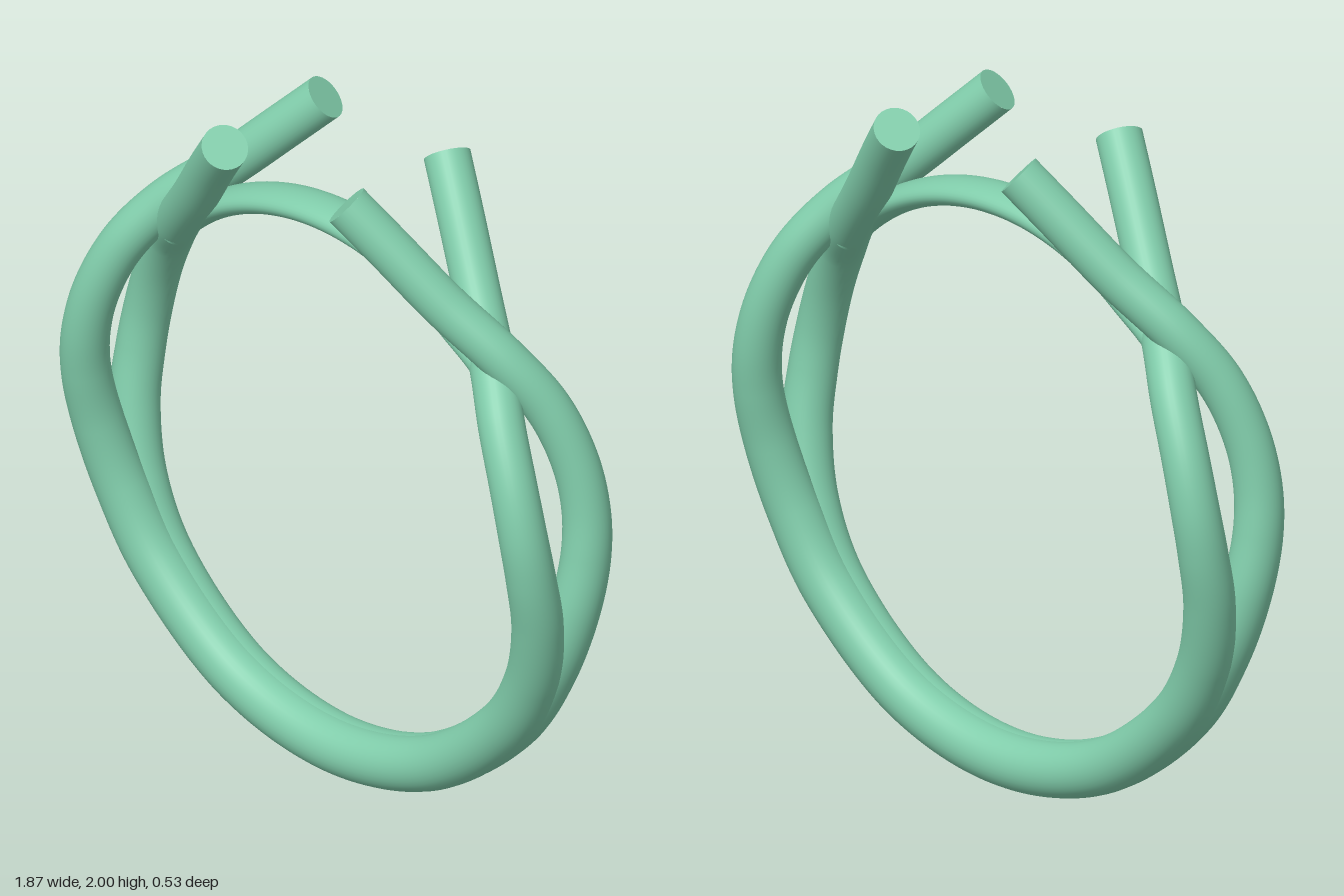
import * as THREE from 'three';

const CENTER_Y = 0.94, RING_R = 0.86;
const material = new THREE.MeshStandardMaterial({ color: 0x80ccaa });

// Tube along a curve; thickness(t) gives the radius and the extra stretch in z.
function taperedTube(name, curve, segments, thickness) {
  const group = new THREE.Group();
  group.name = name;
  const sides = 32;
  const geo = new THREE.TubeGeometry(curve, segments, 1, sides, false);
  const pos = geo.attributes.position, nor = geo.attributes.normal;
  const v = new THREE.Vector3();
  for (let i = 0; i <= segments; i++) {
    const t = i / segments;
    const c = curve.getPointAt(t), { r, wide } = thickness(t);
    for (let j = 0; j <= sides; j++) {
      const k = i * (sides + 1) + j;
      v.fromBufferAttribute(pos, k).sub(c).multiplyScalar(r);
      v.z *= wide;
      v.add(c);
      pos.setXYZ(k, v.x, v.y, v.z);
      v.fromBufferAttribute(nor, k);
      v.z /= wide;
      v.normalize();
      nor.setXYZ(k, v.x, v.y, v.z);
    }
  }
  const tube = new THREE.Mesh(geo, material);
  tube.name = name + 'Tube';
  group.add(tube);

  // Flat discs closing both ends
  for (const t of [0, 1]) {
    const { r } = thickness(t);
    const cap = new THREE.Mesh(new THREE.CircleGeometry(r, sides), material);
    const c = curve.getPointAt(t);
    const out = curve.getTangentAt(t).multiplyScalar(t ? 1 : -1);
    cap.position.copy(c);
    cap.quaternion.setFromUnitVectors(new THREE.Vector3(0, 0, 1), out);
    cap.name = name + 'End';
    group.add(cap);
  }
  return group;
}

// One strand: over the other on its left, under it on its right
function strandCurve() {
  // [angle up from the bottom, z, radial shift at the over/under side]
  const onRing = [
    [25, 0.011, 0], [51, 0.018, 0], [67, 0.036, 0], [81, 0.07, 0.003], [92, 0.103, 0.006],
    [101, 0.117, 0.008], [111, 0.108, 0.014], [122, 0.07, 0.024], [133, 0, 0.03],
  ];
  // Free ends leaving the ring: [x, y, z, shift]
  const free = [[0.48, 1.68, -0.078, 0.018], [0.34, 1.84, -0.147, 0.006], [0.235, 1.957, -0.2, 0]];
  const half = (side) => [
    ...onRing.map(([deg, z, shift]) => {
      const a = THREE.MathUtils.degToRad(deg), r = RING_R - side * shift;
      return new THREE.Vector3(side * r * Math.sin(a), CENTER_Y - r * Math.cos(a), z);
    }),
    ...free.map(([x, y, z, s]) =>
      new THREE.Vector3(side * (x - side * s * 0.7), y - side * s * 0.7, z)),
  ];
  const bottom = new THREE.Vector3(0, CENTER_Y - RING_R, 0.01);
  return new THREE.CatmullRomCurve3([...half(-1).reverse(), bottom, ...half(1)], false, 'centripetal');
}

export function createModel() {
  const model = new THREE.Group();
  model.name = 'crossedStrandRing';

  // Two identical strands, the second turned half round the upright axis
  const curve = strandCurve();
  curve.arcLengthDivisions = 800;
  const strandSize = (t) => ({
    r: 0.079 - 0.013 * THREE.MathUtils.smoothstep(Math.abs(2 * t - 1), 0.25, 0.7),
    wide: 1,
  });
  ['frontStrand', 'backStrand'].forEach((name, i) => {
    const strand = taperedTube(name, curve, 260, strandSize);
    strand.rotation.y = i * Math.PI;
    model.add(strand);
  });

  // Thin flattened arc bridging the two crossings at the top
  const arcPoints = [];
  for (let i = 0; i <= 16; i++) {
    const a = THREE.MathUtils.degToRad(40 + (100 * i) / 16);
    arcPoints.push(new THREE.Vector3(0.81 * Math.cos(a), CENTER_Y + 0.81 * Math.sin(a), 0));
  }
  const arcSize = (t) => ({
    r: 0.04,
    wide: 1.8 - 0.6 * THREE.MathUtils.smoothstep(Math.abs(2 * t - 1), 0.7, 1),
  });
  model.add(taperedTube('topArc', new THREE.CatmullRomCurve3(arcPoints), 80, arcSize));

  return model;
}
